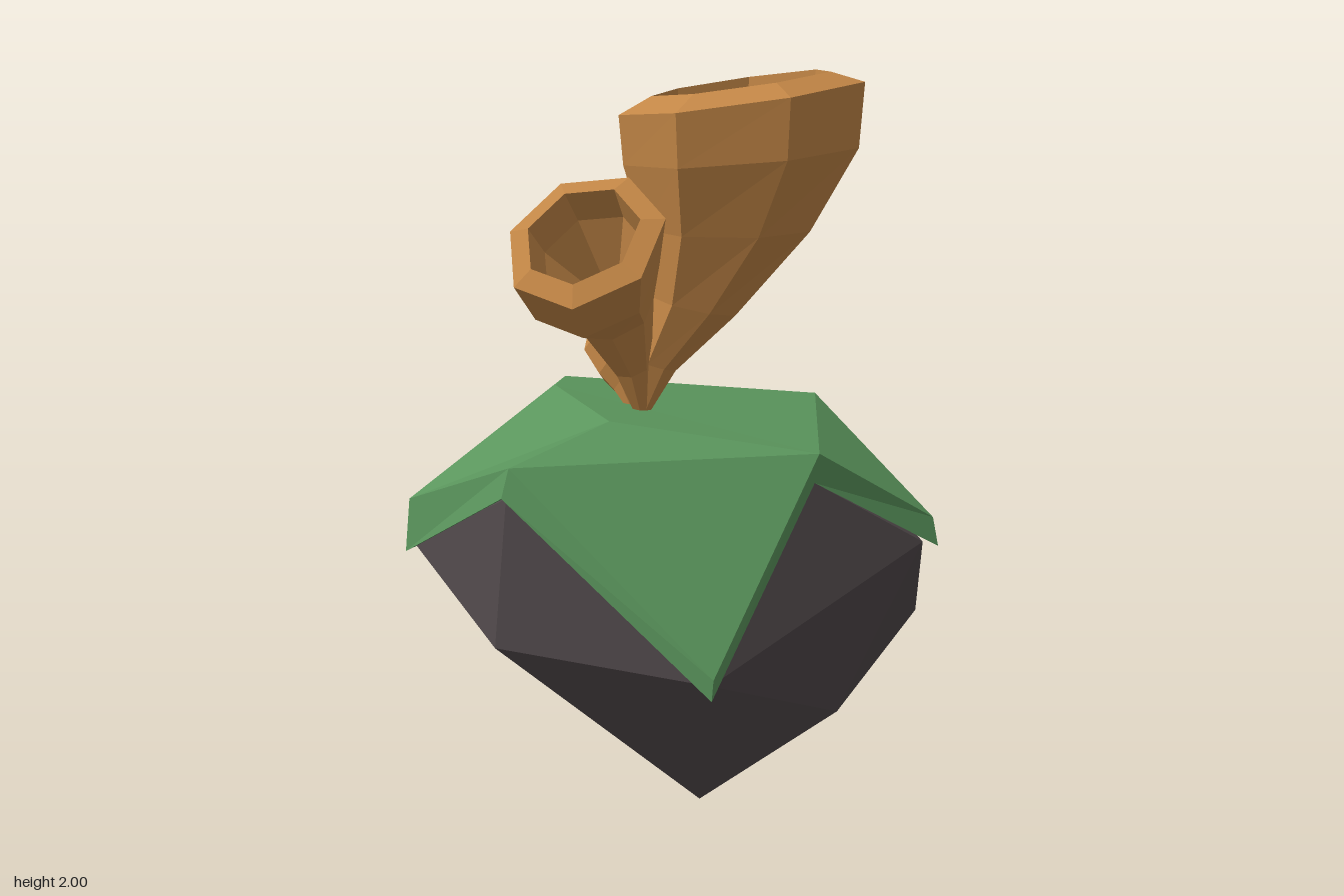
import * as THREE from 'three';
import { ConvexGeometry } from 'three/addons/geometries/ConvexGeometry.js';

const V = (p) => new THREE.Vector3(...p);

// Flat-faced geometry from a list of corner triples
function facets(tris) {
  const g = new THREE.BufferGeometry().setFromPoints(tris.flat());
  g.computeVertexNormals();
  return g;
}

// Ring of points around a centre, facing along a normal
function ring({ c, r, n }, sides, phase) {
  const axis = V(n).normalize();
  const u = new THREE.Vector3(1, 0, 0).addScaledVector(axis, -axis.x).normalize();
  const v = new THREE.Vector3().crossVectors(axis, u);
  return Array.from({ length: sides }, (_, i) => {
    const a = phase + (i * 2 * Math.PI) / sides;
    return V(c).addScaledVector(u, r * Math.cos(a)).addScaledVector(v, r * Math.sin(a));
  });
}

// Skin over successive rings; a last radius of 0 closes to a point
function loft(sections, phase = 0, sides = 7) {
  const rings = sections.map((s) => ring(s, sides, phase));
  const tris = [];
  for (let k = 0; k < rings.length - 1; k++) {
    const [a, b] = [rings[k], rings[k + 1]];
    for (let i = 0; i < sides; i++) {
      const j = (i + 1) % sides;
      tris.push([a[i], a[j], b[j]]);
      if (sections[k + 1].r > 0) tris.push([a[i], b[j], b[i]]);
    }
  }
  return facets(tris);
}

// Rounded-off boulder: hull of a few corners
function rockGeometry() {
  return new ConvexGeometry([
    [0, 0, 0], [-0.225, 0.075, 0.27], [0.145, 0.26, 0.468], [0.467, 0.482, 0.52],
    [0.65, 0.495, 0.167], [-0.673, 0.567, -0.05], [0.45, 0.655, -0.63], [0.1, 0.44, -0.617],
    [0.287, 0.755, 0.64], [-0.44, 0.52, 0.47], [-0.455, 0.695, -0.58],
    [0, 0.955, 0.47], [0.622, 0.955, 0.05], [0.28, 0.975, -0.66], [-0.61, 0.95, -0.06], [0, 1.01, -0.44],
  ].map(V));
}

// Moss blanket: four high notches (even) and four hanging tips (odd), with a thick rim
function mossGeometry() {
  const top = [
    [0, 1.035, 0.488], [0.287, 0.83, 0.669], [0.62, 1.035, 0.055], [0.675, 0.57, -0.295],
    [0.28, 1.05, -0.662], [-0.46, 0.825, -0.588], [-0.598, 1.028, -0.06], [-0.465, 0.55, 0.498],
    [0, 1.095, -0.445], [-0.24, 1.09, -0.03],
  ].map(V);
  const bottom = [
    [0, 0.953, 0.475], [0.287, 0.752, 0.688], [0.632, 0.953, 0.055], [0.668, 0.533, -0.29],
    [0.28, 0.97, -0.689], [-0.47, 0.67, -0.6], [-0.625, 0.953, -0.062], [-0.471, 0.495, 0.497],
    [0, 1.01, -0.445], [-0.24, 1.0, -0.03],
  ].map(V);
  const faces = [
    [0, 1, 2], [2, 3, 4], [4, 5, 8], [8, 5, 9], [9, 5, 6],
    [6, 7, 0], [6, 0, 9], [9, 0, 8], [0, 2, 8], [2, 4, 8],
  ];
  const tris = [];
  for (const [a, b, c] of faces) {
    tris.push([top[a], top[b], top[c]], [bottom[a], bottom[c], bottom[b]]);
  }
  for (let i = 0; i < 8; i++) {
    const j = (i + 1) % 8;
    tris.push([bottom[i], bottom[j], top[j]], [bottom[i], top[j], top[i]]);
  }
  return facets(tris);
}

export function createModel() {
  const model = new THREE.Group();
  const paint = (name, color) => {
    const m = new THREE.MeshStandardMaterial({ color, flatShading: true });
    m.name = name;
    return m;
  };
  const stone = paint('darkStone', 0x50484a);
  const green = paint('mossGreen', 0x5a955c);
  const tan = paint('mushroomTan', 0xc28646);
  const add = (name, geometry, material) => {
    const mesh = new THREE.Mesh(geometry, material);
    mesh.name = name;
    model.add(mesh);
  };

  add('rock', rockGeometry(), stone);
  add('moss', mossGeometry(), green);

  // Tall trumpet: outside, raised lip, then the hollow inside
  const tilt = [-0.1, 1, -0.1];
  add('largeTrumpet', loft([
    { c: [-0.01, 1.07, -0.105], r: 0.022, n: [0.2, 1, 0.2] },
    { c: [0.015, 1.2, -0.07], r: 0.055, n: [0.2, 1, 0.2] },
    { c: [0.07, 1.37, 0.018], r: 0.12, n: [0.15, 1, 0.15] },
    { c: [0.15, 1.58, 0.07], r: 0.235, n: [0, 1, 0] },
    { c: [0.19, 1.78, 0.088], r: 0.328, n: [-0.06, 1, -0.06] },
    { c: [0.19, 1.935, 0.088], r: 0.342, n: tilt },
    { c: [0.19, 1.972, 0.085], r: 0.25, n: tilt },
    { c: [0.19, 1.85, 0.08], r: 0.232, n: tilt },
    { c: [0.19, 1.44, -0.035], r: 0, n: tilt },
  ], -0.35), tan);

  // Leaning trumpet, its mouth turned a little to the front
  const lean = [-0.68, 0.69, 0.21];
  add('leaningTrumpet', loft([
    { c: [-0.015, 1.07, -0.105], r: 0.022, n: [-0.4, 1, 0] },
    { c: [-0.045, 1.2, -0.11], r: 0.055, n: [-0.5, 1, 0] },
    { c: [-0.14, 1.37, -0.09], r: 0.11, n: [-0.6, 0.8, 0.1] },
    { c: [-0.265, 1.47, -0.06], r: 0.183, n: lean },
    { c: [-0.345, 1.588, -0.018], r: 0.218, n: lean },
    { c: [-0.358, 1.603, -0.015], r: 0.157, n: lean },
    { c: [-0.295, 1.535, -0.03], r: 0.145, n: lean },
    { c: [-0.15, 1.38, -0.08], r: 0, n: lean },
  ], 0.12), tan);

  // Small closed bud
  const budAxis = [0.1, 0.6, -0.7];
  add('bud', loft([
    { c: [0.015, 1.07, -0.165], r: 0.018, n: budAxis },
    { c: [0.03, 1.125, -0.2], r: 0.04, n: budAxis },
    { c: [0.042, 1.175, -0.235], r: 0.067, n: budAxis },
    { c: [0.055, 1.235, -0.3], r: 0.069, n: budAxis },
    { c: [0.06, 1.302, -0.352], r: 0, n: budAxis },
  ]), tan);

  return model;
}
